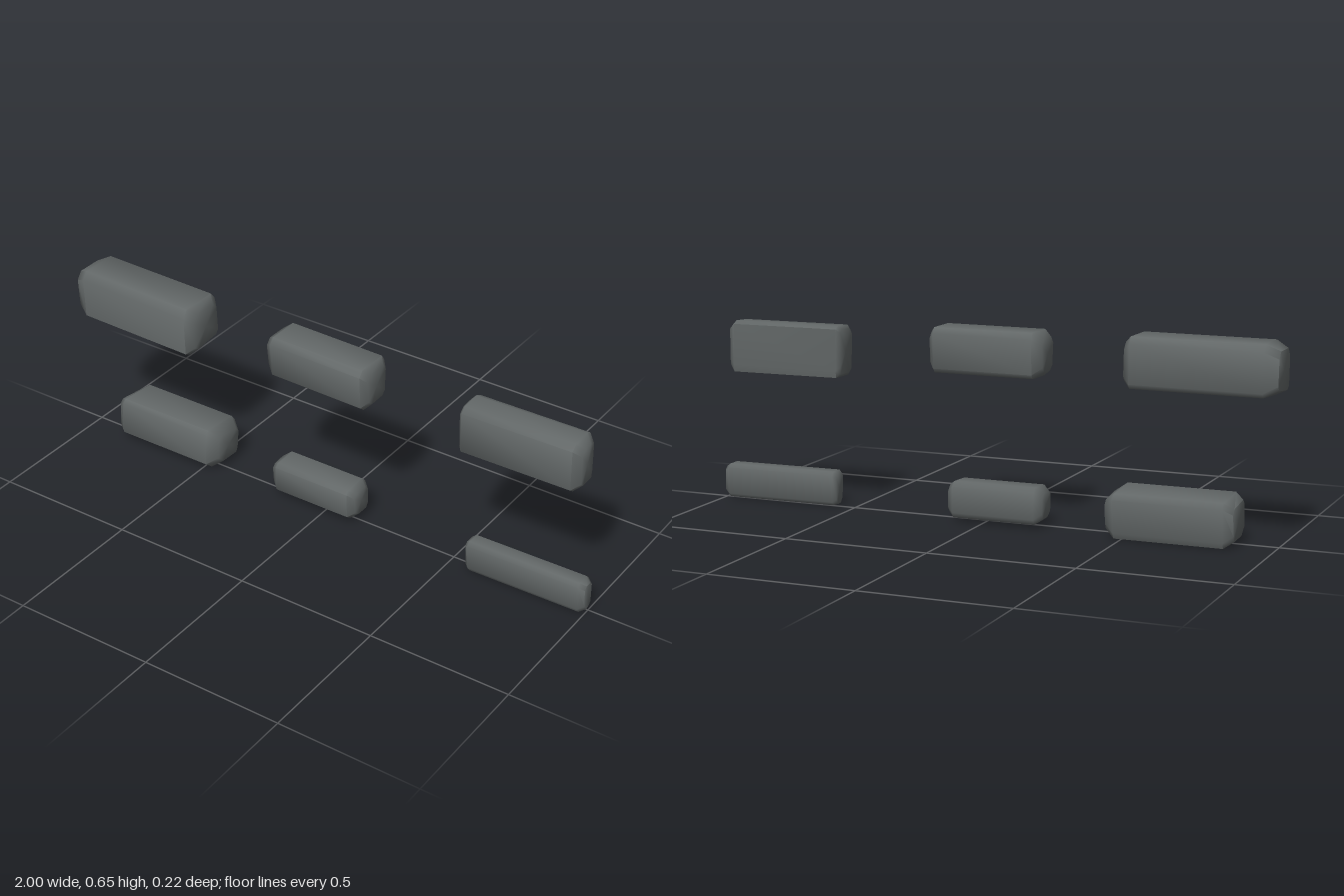
import * as THREE from 'three';
import { toCreasedNormals } from 'three/addons/utils/BufferGeometryUtils.js';

// Each stone: x range, [bevel length, inset] of both ends, yaw shift in z, and its [z, y] outline
const STONES = [
  { name: 'upperRightStone', x: [-1, -0.485], ends: [[0.045, 0.022], [0.025, 0.022]], yaw: 0.008,
    outline: [[0.085, 0.654], [-0.047, 0.655], [-0.067, 0.632], [-0.072, 0.502], [-0.06, 0.487], [0.08, 0.477], [0.1, 0.488], [0.105, 0.628]] },
  { name: 'upperMiddleStone', x: [-0.205, 0.2], ends: [[0.03, 0.022], [0.02, 0.02]], yaw: 0.005,
    outline: [[0.07, 0.648], [-0.042, 0.648], [-0.057, 0.628], [-0.053, 0.51], [-0.04, 0.496], [0.06, 0.494], [0.08, 0.51], [0.088, 0.627]] },
  { name: 'upperLeftStone', x: [0.53, 0.957], ends: [[0.012, 0.012], [0.025, 0.02]], yaw: -0.003,
    outline: [[0.04, 0.628], [-0.03, 0.632], [-0.052, 0.622], [-0.054, 0.48], [-0.05, 0.456], [0.04, 0.455], [0.056, 0.467], [0.06, 0.61]] },
  { name: 'lowerRightStone', x: [-0.872, -0.44], ends: [[0.03, 0.02], [0.035, 0.025]], yaw: 0,
    outline: [[0.045, 0.16], [-0.092, 0.148], [-0.106, 0.13], [-0.099, 0.02], [-0.09, 0.001], [0.033, 0.004], [0.064, 0.03], [0.058, 0.147]] },
  { name: 'lowerMiddleStone', x: [-0.21, 0.127], ends: [[0.025, 0.018], [0.022, 0.016]], yaw: 0,
    outline: [[0.037, 0.131], [-0.045, 0.135], [-0.063, 0.118], [-0.066, 0.03], [-0.054, 0.012], [0.022, 0.012], [0.046, 0.028], [0.05, 0.119]] },
  { name: 'lowerLeftStone', x: [0.567, 1], ends: [[0.012, 0.008], [0.02, 0.012]], yaw: -0.004,
    outline: [[0.038, 0.12], [-0.008, 0.12], [-0.021, 0.108], [-0.021, 0.015], [-0.01, 0.003], [0.03, 0], [0.043, 0.018], [0.049, 0.108]] },
];

// Lofts the outline along x, shrinking it at both ends to bevel the stone
function stoneGeometry({ x: [x0, x1], ends: [e0, e1], yaw, outline }) {
  const n = outline.length;
  const cz = outline.reduce((s, p) => s + p[0], 0) / n;
  const cy = outline.reduce((s, p) => s + p[1], 0) / n;
  const sections = [[x0, e0[1]], [x0 + e0[0], 0], [x1 - e1[0], 0], [x1, e1[1]]];
  const positions = [];
  const index = [];
  const shift = (x) => yaw * (2 * (x - x0) / (x1 - x0) - 1);

  for (const [x, inset] of sections) {
    for (const [z, y] of outline) {
      const dz = z - cz, dy = y - cy;
      positions.push(x,
        cy + Math.sign(dy) * Math.max(Math.abs(dy) - inset, 0),
        cz + Math.sign(dz) * Math.max(Math.abs(dz) - inset, 0) + shift(x));
    }
  }
  // Side faces
  for (let s = 0; s < sections.length - 1; s++) {
    for (let i = 0; i < n; i++) {
      const a = s * n + i, b = s * n + (i + 1) % n;
      index.push(a, a + n, b, b, a + n, b + n);
    }
  }
  // End caps
  const last = (sections.length - 1) * n;
  const c0 = positions.length / 3;
  positions.push(x0, cy, cz + shift(x0), x1, cy, cz + shift(x1));
  for (let i = 0; i < n; i++) {
    const j = (i + 1) % n;
    index.push(c0, i, j, c0 + 1, last + j, last + i);
  }
  const geometry = new THREE.BufferGeometry();
  geometry.setAttribute('position', new THREE.Float32BufferAttribute(positions, 3));
  geometry.setIndex(index);
  return toCreasedNormals(geometry, 1.0);
}

export function createModel() {
  const group = new THREE.Group();
  group.name = 'stones';
  const stone = new THREE.MeshStandardMaterial({ color: 0x646969 });
  stone.name = 'stone grey';
  for (const spec of STONES) {
    const mesh = new THREE.Mesh(stoneGeometry(spec), stone);
    mesh.name = spec.name;
    group.add(mesh);
  }
  return group;
}
